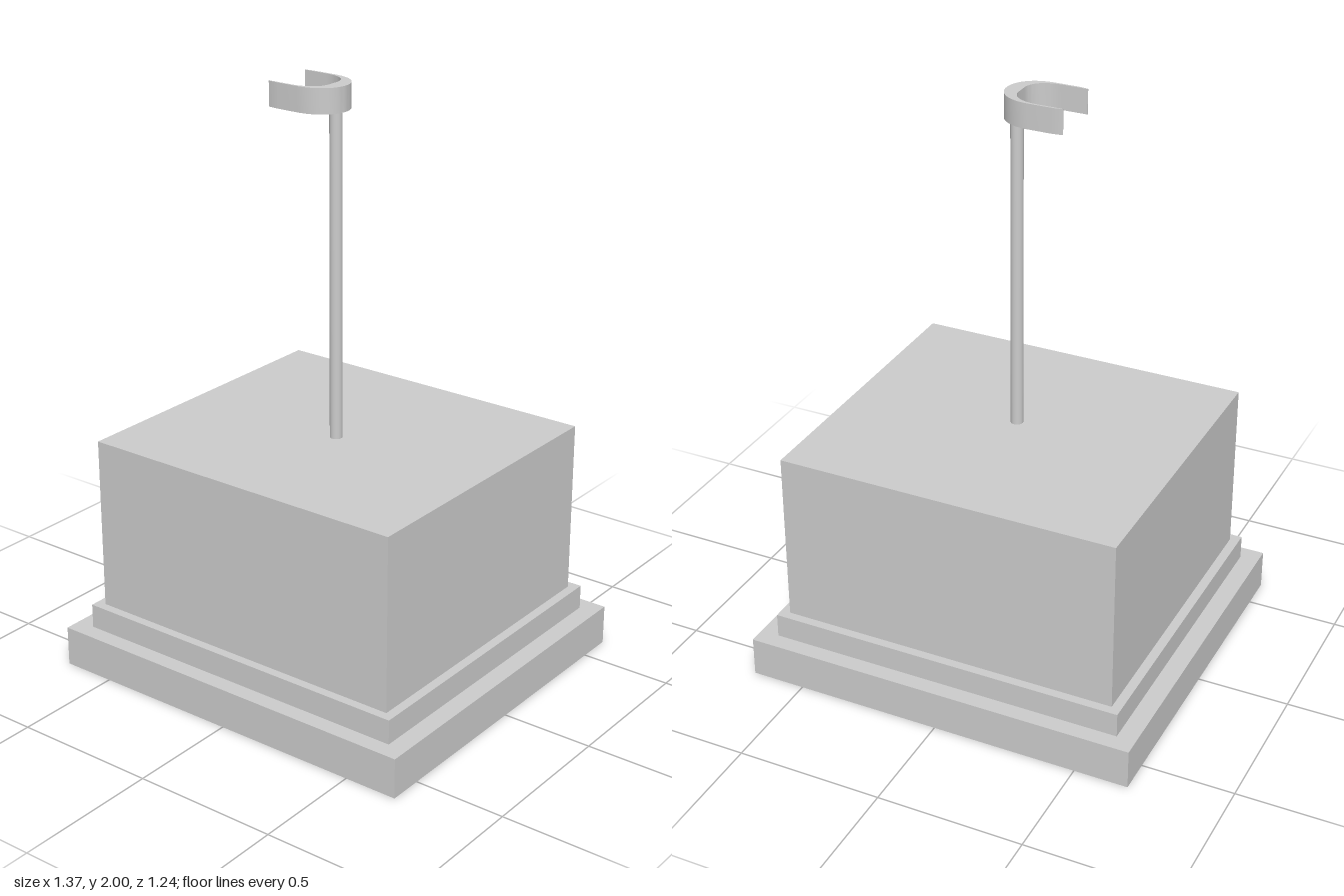
import * as THREE from 'three';
import { toCreasedNormals } from 'three/addons/utils/BufferGeometryUtils.js';

export function createModel() {
  const model = new THREE.Group();
  const material = new THREE.MeshStandardMaterial({ color: 0xcccccc });

  const add = (name, geometry, x, y, z) => {
    const mesh = new THREE.Mesh(geometry, material);
    mesh.name = name;
    mesh.position.set(x, y, z);
    model.add(mesh);
  };

  // Stepped pedestal: name, width, depth, bottom, top
  const tiers = [
    ['basePlinth', 1.37, 1.235, 0, 0.138],
    ['middleStep', 1.24, 1.12, 0.138, 0.222],
    ['mainBlock', 1.175, 1.058, 0.222, 0.82],
  ];
  for (const [name, w, d, y0, y1] of tiers) {
    add(name, new THREE.BoxGeometry(w, y1 - y0, d), 0, (y0 + y1) / 2, 0);
  }

  // Slim pole, slightly off centre
  add('pole', new THREE.CylinderGeometry(0.021, 0.021, 1.1, 32), 0.008, 1.37, 0.024);

  // Crescent cradle, open towards -x and tapering to thin tips
  const s = new THREE.Shape();
  s.moveTo(-0.194, -0.092);
  s.quadraticCurveTo(-0.17, -0.097, -0.15, -0.097);
  s.lineTo(-0.08, -0.097);
  s.bezierCurveTo(-0.01, -0.097, 0.037, -0.055, 0.037, 0);
  s.bezierCurveTo(0.037, 0.055, -0.01, 0.097, -0.08, 0.097);
  s.lineTo(-0.15, 0.097);
  s.quadraticCurveTo(-0.17, 0.097, -0.194, 0.092);
  s.lineTo(-0.194, 0.09);
  s.lineTo(-0.11, 0.09);
  s.bezierCurveTo(-0.05, 0.09, -0.013, 0.06, -0.013, 0.02);
  s.lineTo(-0.013, -0.02);
  s.bezierCurveTo(-0.013, -0.06, -0.05, -0.09, -0.11, -0.09);
  s.lineTo(-0.194, -0.09);
  s.closePath();
  const cradle = new THREE.ExtrudeGeometry(s, { depth: 0.083, bevelEnabled: false, curveSegments: 16 });
  cradle.rotateX(Math.PI / 2);
  add('cradle', toCreasedNormals(cradle, 0.6), 0, 2, 0.012);

  return model;
}
